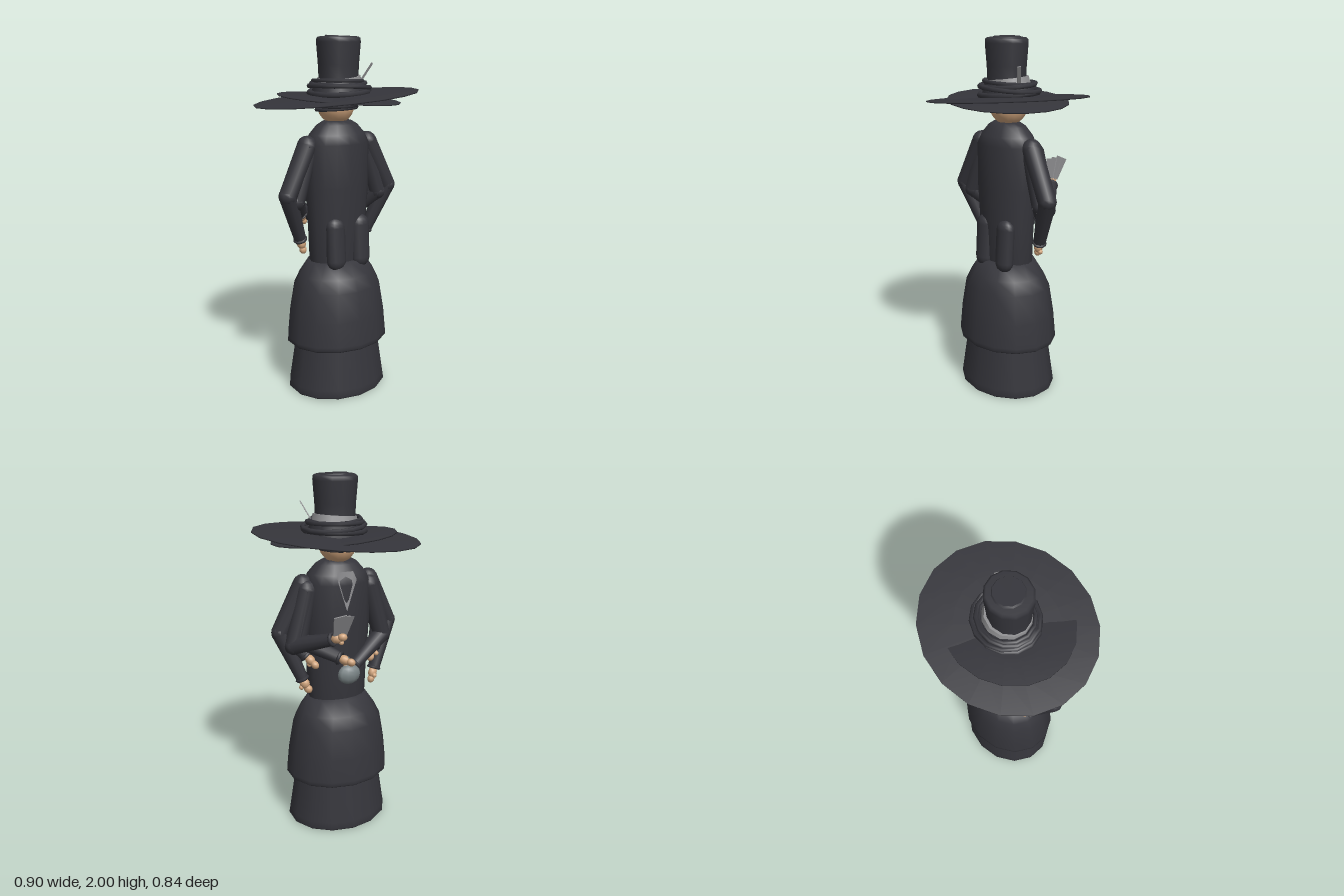
import * as THREE from 'three';

const mat = (name, color) => {
  const m = new THREE.MeshStandardMaterial({ color });
  m.name = name;
  return m;
};

export function createModel() {
  const root = new THREE.Group();
  root.name = 'robedFigure';
  const cloth = mat('blackCloth', 0x35353b);
  const skin = mat('skin', 0xd2a67e);
  const grey = mat('paperGrey', 0x8e8e90);
  const steel = mat('steel', 0x788284);
  const shirt = mat('shirtGrey', 0x858588);
  shirt.side = THREE.DoubleSide;

  const add = (parent, name, geo, material, pos = [0, 0, 0], rot = [0, 0, 0], scale = [1, 1, 1]) => {
    const m = new THREE.Mesh(geo, material);
    m.name = name;
    m.position.set(...pos);
    m.rotation.set(...rot);
    m.scale.set(...scale);
    parent.add(m);
    return m;
  };
  const lathe = (pts, sides) =>
    new THREE.LatheGeometry(pts.map(([r, y]) => new THREE.Vector2(r, y)), sides);
  const ball = (parent, name, p, r, material, scale) =>
    add(parent, name, new THREE.SphereGeometry(r, 10, 8), material, p, [0, 0, 0], scale);

  // Skirts: a straight underskirt and a bell shaped overskirt
  add(root, 'underskirt', lathe([[0, 0], [0.285, 0], [0.285, 0], [0.296, 0.012], [0.29, 0.05], [0.25, 0.31]], 14),
    cloth, [0, 0, 0], [0, 0, 0], [1, 1, 0.85]);
  add(root, 'overskirt', lathe([[0.2, 0.3], [0.292, 0.288], [0.303, 0.298], [0.302, 0.32], [0.288, 0.46],
    [0.26, 0.62], [0.225, 0.69], [0.17, 0.77], [0, 0.79]], 14), cloth, [0, 0, 0], [0, 0, 0], [1, 1, 0.85]);

  // Coat body
  add(root, 'coatBody', lathe([[0, 0.745], [0.155, 0.75], [0.168, 0.77], [0.175, 0.95], [0.19, 1.2], [0.19, 1.43],
    [0.165, 1.48], [0.12, 1.53], [0.085, 1.55], [0, 1.55]], 16), cloth, [0, 0, 0.003], [0, 0, 0], [1, 1, 0.71]);

  // Coat tails, flattened rounded strips
  for (const x of [-0.072, 0.088])
    add(root, 'coatTail', new THREE.CapsuleGeometry(0.057, 0.19, 5, 12), cloth,
      [x, 0.88, 0.105], [-0.06, 0, 0], [1, 1, 0.75]);

  // Shirt front, a thin V on the chest
  const vee = new THREE.Shape([[0, 1.29], [0.055, 1.46], [0.045, 1.5], [-0.045, 1.5], [-0.055, 1.46]]
    .map(([x, y]) => new THREE.Vector2(x, y)));
  const veeGeo = new THREE.ShapeGeometry(vee);
  const vp = veeGeo.attributes.position;
  for (let i = 0; i < vp.count; i++) vp.setZ(i, vp.getY(i) > 1.48 ? -0.113 : -0.137);
  veeGeo.computeVertexNormals();
  add(root, 'shirtFront', veeGeo, shirt);

  // Arm made of two tapered tubes with round joints, a cuff and a hand
  const limb = (parent, name, a, b, r1, r2) => {
    const dir = b.clone().sub(a);
    const m = add(parent, name, new THREE.CylinderGeometry(r2, r1, dir.length(), 10), cloth);
    m.position.copy(a).addScaledVector(dir, 0.5);
    m.quaternion.setFromUnitVectors(new THREE.Vector3(0, 1, 0), dir.normalize());
  };
  const arm = (name, shoulder, elbow, wrist) => {
    const g = new THREE.Group();
    g.name = name;
    root.add(g);
    const [s, e, w] = [shoulder, elbow, wrist].map((p) => new THREE.Vector3(...p));
    limb(g, 'upperSleeve', s, e, 0.055, 0.05);
    limb(g, 'lowerSleeve', e, w, 0.05, 0.034);
    ball(g, 'shoulder', shoulder, 0.055, cloth);
    ball(g, 'elbow', elbow, 0.051, cloth);
    const hand = new THREE.Group();
    hand.name = 'hand';
    hand.position.copy(w);
    hand.quaternion.setFromUnitVectors(new THREE.Vector3(0, 1, 0), w.clone().sub(e).normalize());
    g.add(hand);
    add(hand, 'cuff', new THREE.TorusGeometry(0.031, 0.01, 6, 10), cloth, [0, 0, 0], [Math.PI / 2, 0, 0]);
    ball(hand, 'palm', [0, 0.03, 0], 0.03, skin, [1, 1.1, 0.85]);
    ball(hand, 'fingers', [0.006, 0.068, 0], 0.023, skin, [1.1, 1.1, 0.9]);
    ball(hand, 'thumb', [-0.02, 0.045, -0.016], 0.014, skin);
  };
  for (const s of [-1, 1]) {
    arm('hangingArm', [s * 0.195, 1.425, 0.01], [s * 0.325, 1.165, 0.025], [s * 0.222, 0.9, -0.03]);
    arm('hipArm', [s * 0.185, 1.4, 0], [s * 0.27, 1.13, 0.015], [s * 0.205, 1.04, -0.055]);
  }
  arm('cardArm', [0.185, 1.4, -0.02], [0.27, 1.1, -0.03], [0.125, 1.175, -0.225]);
  arm('watchArm', [0.18, 1.4, -0.02], [0.24, 1.13, -0.03], [0.07, 1.055, -0.195]);
  arm('foldedArm', [-0.185, 1.4, -0.02], [-0.265, 1.1, -0.03], [-0.045, 0.975, -0.135]);

  // Fan of cards in one hand
  for (let i = 0; i < 3; i++)
    add(root, 'card', new THREE.BoxGeometry(0.07, 0.125, 0.006), grey,
      [0.075 + i * 0.018, 1.255 + i * 0.006, -0.268 - i * 0.012], [-0.43, 0, 0.15 - i * 0.15]);

  // Pocket watch and its chain
  ball(root, 'pocketWatch', [0.03, 0.968, -0.23], 0.055, steel, [1.2, 1, 0.68]);
  add(root, 'watchChain', new THREE.CylinderGeometry(0.006, 0.006, 0.06, 6), steel, [0.035, 1.035, -0.23]);

  // Head
  add(root, 'head', new THREE.SphereGeometry(0.103, 16, 12), skin, [0, 1.635, -0.01], [0, 0, 0], [1, 1.02, 1.02]);

  // Hat brims: two thin tilted discs
  const brim = (r) => lathe([[0, -0.012], [r * 0.6, -0.009], [r, -0.003], [r, 0.003], [r * 0.6, 0.009], [0, 0.014]], 18);
  add(root, 'hatBrim', brim(0.46), cloth, [0, 1.673, 0], [-0.03, 0, 0.081], [1, 1, 0.913]);
  add(root, 'innerBrim', brim(0.345), cloth, [0.012, 1.668, 0.01], [0.05, 0, -0.062], [1, 1, 0.91]);

  // Hat crown with a slightly raised lid
  add(root, 'hatCrown', lathe([[0.118, 1.65], [0.108, 1.76], [0.112, 1.85], [0.121, 1.965], [0.119, 1.985],
    [0.108, 1.993], [0, 1.993]], 12), cloth, [0.005, 0, 0.01], [0, 0, 0], [1, 1, 0.95]);
  add(root, 'crownLid', new THREE.CylinderGeometry(0.075, 0.085, 0.012, 12), cloth, [0.01, 1.992, 0.012], [0.03, 0, -0.03]);

  // Wound cloth bands: [y, radius, tube, x shift, tilt x, tilt z]
  const bands = [[1.705, 0.165, 0.016, 0.015, 0.04, 0.05], [1.73, 0.168, 0.013, 0.018, -0.05, -0.06],
    [1.748, 0.15, 0.013, 0.01, 0.05, 0.03], [1.762, 0.137, 0.011, 0.008, -0.04, -0.04],
    [1.64, 0.115, 0.014, 0, 0.05, 0.03], [1.616, 0.112, 0.011, 0, -0.05, 0.04]];
  for (const [y, r, t, x, tx, tz] of bands)
    add(root, 'hatBand', new THREE.TorusGeometry(r, t, 6, 14), cloth, [x, y, 0], [Math.PI / 2 + tx, tz, 0], [1, 0.94, 1]);
  add(root, 'bandFill', new THREE.CylinderGeometry(0.135, 0.155, 0.085, 14), cloth, [0.01, 1.715, 0], [0, 0, 0], [1, 1, 0.94]);

  // Grey ribbon and the pin tucked into it
  add(root, 'ribbon', new THREE.CylinderGeometry(0.118, 0.127, 0.04, 12), grey, [0.01, 1.765, 0.006], [0.05, 0, 0.09], [1, 1, 0.97]);
  add(root, 'hatPin', new THREE.BoxGeometry(0.006, 0.13, 0.02), grey, [0.148, 1.8, 0.06], [0.26, -0.4, -0.43]);

  return root;
}
